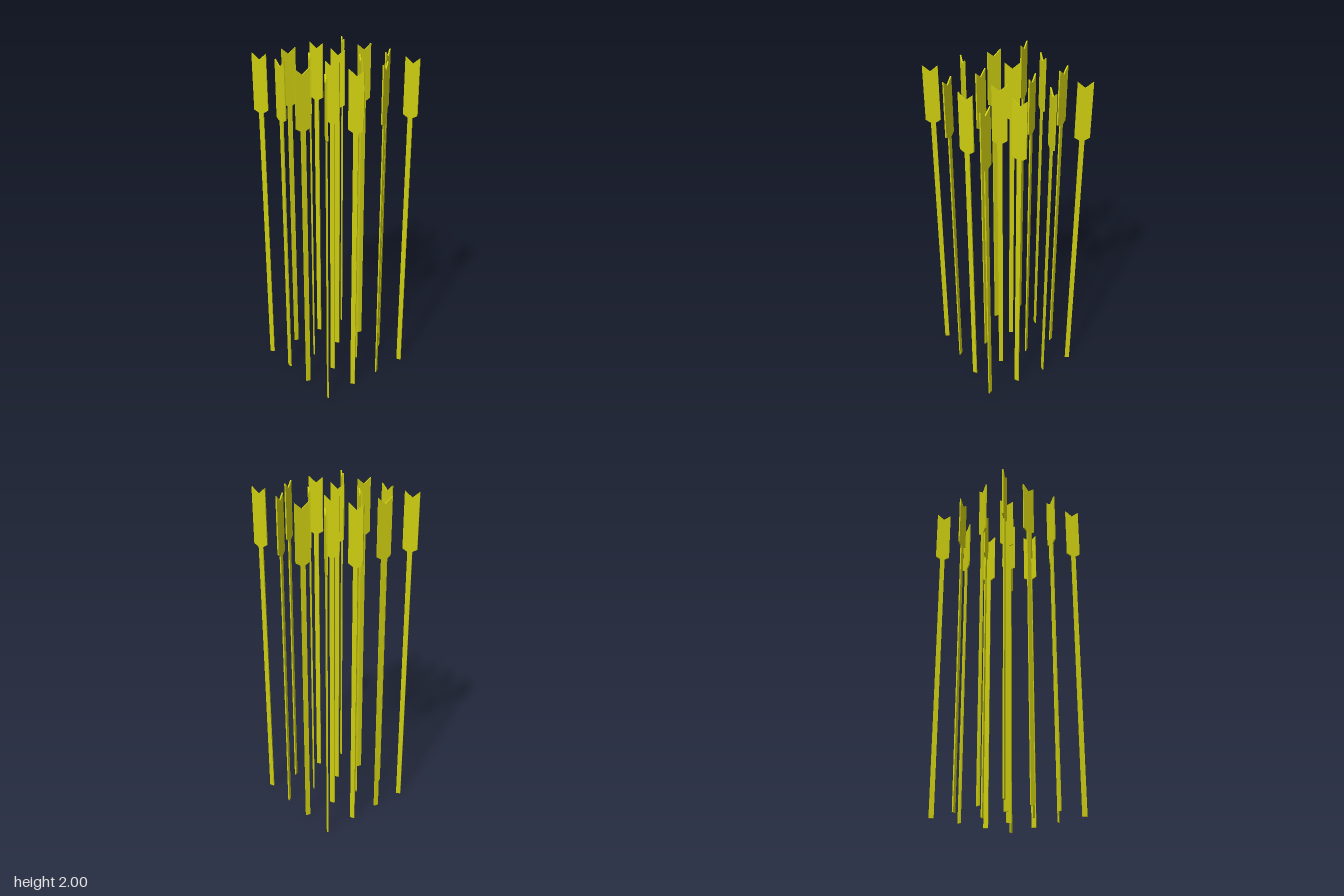
import * as THREE from 'three';

const SPACING = 0.198;
const THICKNESS = 0.008;

// Turn of each stalk about the vertical in degrees, rows from back to front
const TURNS = [
  [-31, 77, -59, 25],
  [25, 34, -31, -59],
  [77, -31, 25, 34],
  [34, 0, 77, -31],
];

// Flat stalk outline: narrow stem, sloped shoulders and a notched head
function stalkGeometry() {
  const stem = 0.014, head = 0.042;
  const right = [[stem, 0], [stem, 1.66], [head, 1.677], [head, 2]];
  const left = right.map(([x, y]) => [-x, y]).reverse();
  const outline = [...right, [0, 1.965], ...left];
  const shape = new THREE.Shape(outline.map(([x, y]) => new THREE.Vector2(x, y)));
  const geometry = new THREE.ExtrudeGeometry(shape, { depth: THICKNESS, bevelEnabled: false });
  return geometry.translate(0, 0, -THICKNESS / 2);
}

export function createModel() {
  const model = new THREE.Group();
  model.name = 'stalkCluster';
  const geometry = stalkGeometry();
  const material = new THREE.MeshStandardMaterial({ color: 0xcccc11, flatShading: true });

  // Four by four grid of turned stalks
  TURNS.forEach((row, r) => row.forEach((turn, c) => {
    const stalk = new THREE.Mesh(geometry, material);
    stalk.name = `stalk${r * 4 + c + 1}`;
    stalk.position.set((c - 1.5) * SPACING, 0, (r - 1.5) * SPACING);
    stalk.rotation.y = THREE.MathUtils.degToRad(turn);
    model.add(stalk);
  }));
  return model;
}
